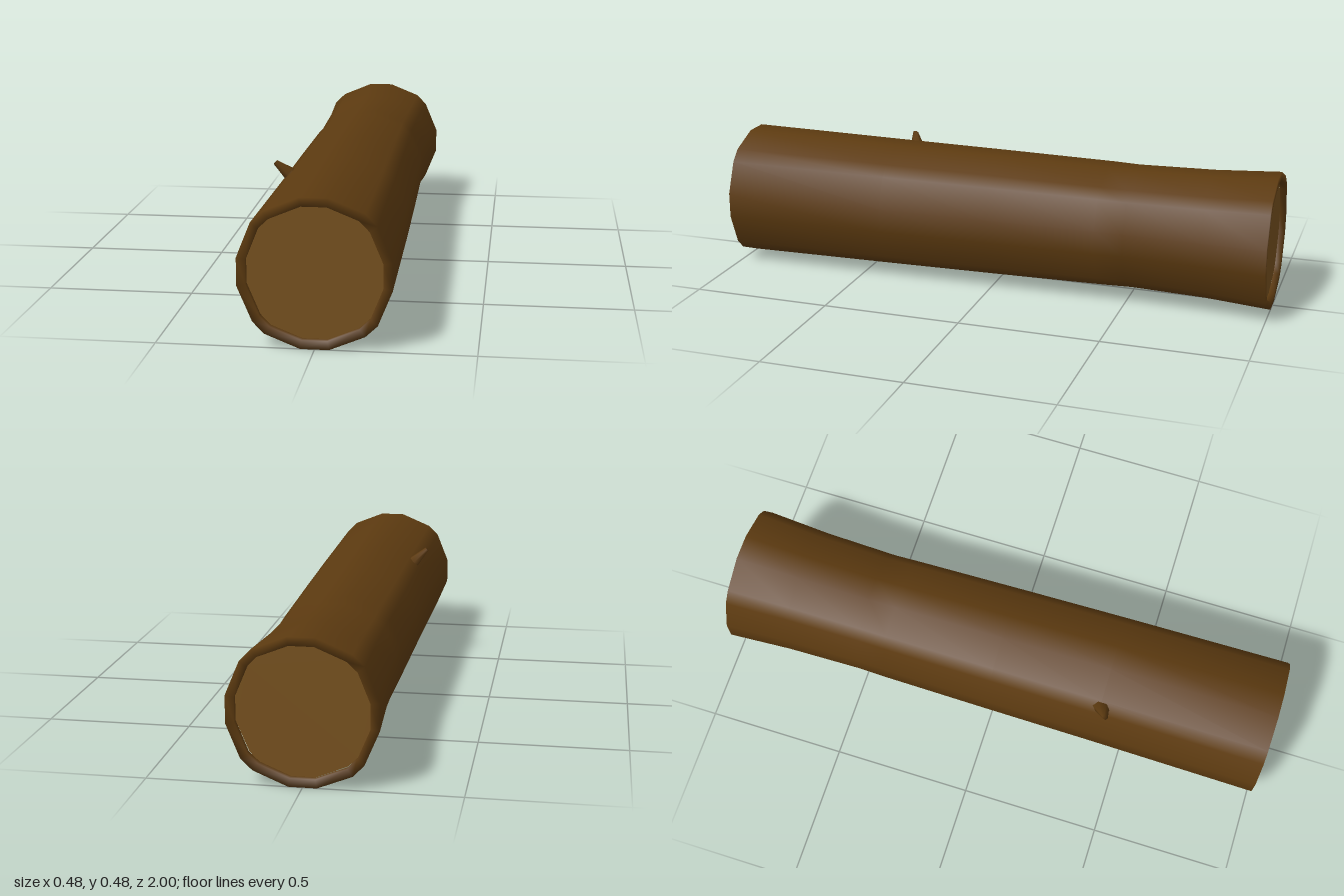
import * as THREE from 'three';

const CENTRE_Y = 0.24;
const RIM = 0.882;      // inner edge of the bark as a share of the outer one
const RECESS = 0.98;    // z of the sunken wood faces

// Sixteen-cornered cross-section, one quadrant turned four times
function crossSection() {
  const quadrant = [[0.24, 0.045], [0.193, 0.157], [0.157, 0.195], [0.045, 0.24]];
  const points = [];
  for (let q = 0; q < 4; q++) {
    for (const [x, y] of quadrant) {
      points.push(new THREE.Vector2(x, y).rotateAround(new THREE.Vector2(), q * Math.PI / 2));
    }
  }
  return points;
}

// Skin over closed rings of equal length, with shared smooth normals
function skin(rings, capEnd = false) {
  const n = rings[0].length;
  const index = [];
  for (let i = 0; i < rings.length - 1; i++) {
    for (let j = 0; j < n; j++) {
      const a = i * n + j, b = i * n + (j + 1) % n;
      index.push(a, b, b + n, a, b + n, a + n);
    }
  }
  const last = (rings.length - 1) * n;
  if (capEnd) for (let j = 1; j < n - 1; j++) index.push(last, last + j, last + j + 1);
  const geometry = new THREE.BufferGeometry().setFromPoints(rings.flat());
  geometry.setIndex(index);
  geometry.computeVertexNormals();
  return geometry;
}

export function createModel() {
  const group = new THREE.Group();
  const barkMaterial = new THREE.MeshStandardMaterial({ color: 0x5c3a10 });
  const woodMaterial = new THREE.MeshStandardMaterial({ color: 0x75501e });
  const profile = crossSection();

  const add = (name, geometry, material) => {
    const mesh = new THREE.Mesh(geometry, material);
    mesh.name = name;
    group.add(mesh);
    return mesh;
  };

  // Bark: [z, scale, x shift], from the back recess over the waist to the front recess
  const sections = [
    [-RECESS, RIM, 0], [-1, RIM, 0], [-1, 1, 0],
    [-0.77, 0.94, -0.002], [-0.5, 0.913, -0.004], [-0.4, 0.925, -0.004],
    [0, 0.95, -0.002], [0.4, 0.97, 0],
    [1, 1, 0], [1, RIM, 0], [RECESS, RIM, 0],
  ];
  const rings = sections.map(([z, s, dx]) =>
    profile.map(p => new THREE.Vector3(p.x * s + dx, p.y * s + CENTRE_Y, z)));
  add('bark', skin(rings), barkMaterial);

  // Sawn wood faces at both ends
  const face = new THREE.ShapeGeometry(new THREE.Shape(profile.map(p => p.clone().multiplyScalar(RIM))));
  for (const side of [1, -1]) {
    const wood = add(side > 0 ? 'frontWood' : 'backWood', face, woodMaterial);
    wood.position.set(0, CENTRE_Y, side * RECESS);
    if (side < 0) wood.rotation.y = Math.PI;
  }

  // Twig stub on the upper right: [distance from the log axis, half width, half length, z]
  const out = new THREE.Vector3(-1, 1, 0).normalize();
  const across = new THREE.Vector3(1, 1, 0).normalize();
  const along = new THREE.Vector3(0, 0, 1);
  const twigRings = [[0.225, 0.026, 0.04, 0.4], [0.245, 0.022, 0.028, 0.405], [0.303, 0.009, 0.01, 0.428]]
    .map(([r, w, l, z]) => Array.from({ length: 6 }, (_, i) => {
      const a = i / 6 * Math.PI * 2;
      return new THREE.Vector3(0, CENTRE_Y, z)
        .addScaledVector(out, r)
        .addScaledVector(along, Math.cos(a) * l)
        .addScaledVector(across, Math.sin(a) * w);
    }));
  add('twig', skin(twigRings, true), barkMaterial);

  return group;
}
